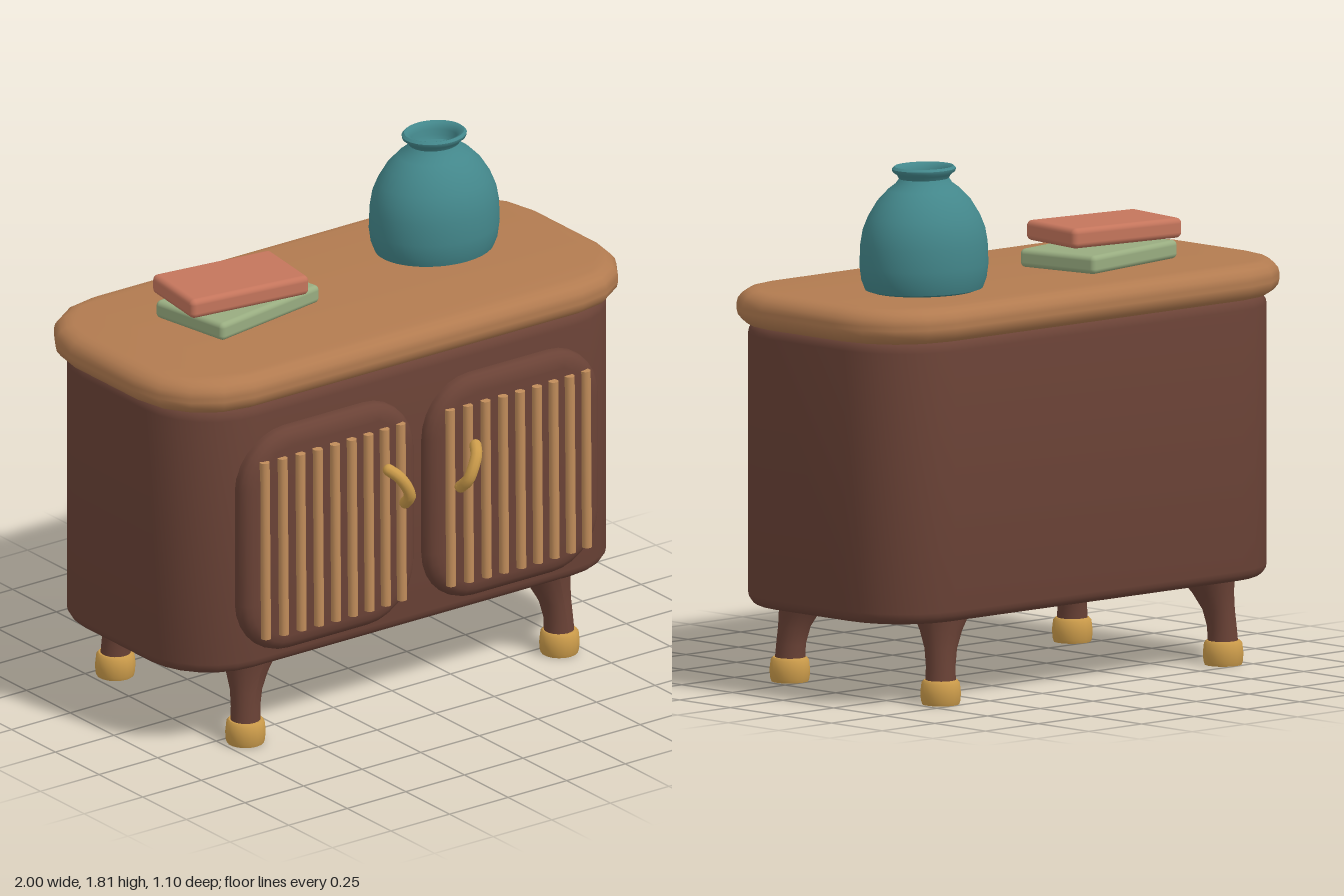
import * as THREE from 'three';
import { toCreasedNormals } from 'three/addons/utils/BufferGeometryUtils.js';
import { RoundedBoxGeometry } from 'three/addons/geometries/RoundedBoxGeometry.js';

const paint = (name, color) => {
  const m = new THREE.MeshStandardMaterial({ color });
  m.name = name;
  return m;
};

// Slab with rounded corners and softened rims, centred, thickness along z
function slab(w, h, depth, radius, cornerSegments, bevelSize, bevelDepth) {
  const shape = new THREE.Shape();
  const x = w / 2 - radius, y = h / 2 - radius;
  const corners = [[x, y], [-x, y], [-x, -y], [x, -y]];
  const pts = [];
  corners.forEach(([cx, cy], i) => {
    for (let k = 0; k <= cornerSegments; k++) {
      const a = (i + k / cornerSegments) * Math.PI / 2;
      pts.push(new THREE.Vector2(cx + radius * Math.cos(a), cy + radius * Math.sin(a)));
    }
  });
  shape.setFromPoints(pts);
  const g = new THREE.ExtrudeGeometry(shape, {
    depth: depth - 2 * bevelDepth, bevelEnabled: true, bevelSize,
    bevelThickness: bevelDepth, bevelOffset: -bevelSize, bevelSegments: 4,
  });
  g.translate(0, 0, bevelDepth - depth / 2);
  return toCreasedNormals(g, 0.7);
}

export function createModel() {
  const model = new THREE.Group();
  const walnut = paint('dark walnut', 0x6a4236);
  const oak = paint('warm top wood', 0xb27b50);
  const cane = paint('slat wood', 0xc08c5a);
  const brass = paint('brass', 0xcb9b4a);
  const teal = paint('teal glaze', 0x43878b);
  const clay = paint('clay red cover', 0xc4755c);
  const sage = paint('sage green cover', 0x98ac80);

  const add = (name, geometry, material, x = 0, y = 0, z = 0, parent = model) => {
    const mesh = new THREE.Mesh(geometry, material);
    mesh.name = name;
    mesh.position.set(x, y, z);
    parent.add(mesh);
    return mesh;
  };

  // Cabinet body and overhanging top
  add('cabinetBody', slab(1.9, 0.905, 0.98, 0.27, 6, 0.04, 0.04).rotateX(-Math.PI / 2), walnut, 0, 0.78, -0.067);
  add('cabinetTop', slab(2, 0.96, 0.125, 0.3, 4, 0.065, 0.055).rotateX(-Math.PI / 2), oak, 0, 1.322, -0.07);

  // Doors with vertical slats and bent handles
  const doorGeo = slab(0.74, 0.82, 0.1, 0.2, 7, 0.055, 0.045);
  const slatGeo = new THREE.CylinderGeometry(0.018, 0.018, 0.65, 10);
  for (const side of [-1, 1]) {
    const door = new THREE.Group();
    door.name = side > 0 ? 'leftDoor' : 'rightDoor';
    model.add(door);
    add('doorPanel', doorGeo, walnut, side * 0.394, 0.76, 0.388, door);
    for (let i = -4; i <= 4; i++) {
      const slat = add('slat', slatGeo, cane, side * 0.395 + i * 0.0725, 0.755, 0.457 - 0.0008 * i * i, door);
      slat.rotation.x = -0.012;
    }
    const path = [[0.185, 0.94, 0.48], [0.165, 0.92, 0.512], [0.138, 0.875, 0.526], [0.125, 0.84, 0.52], [0.118, 0.805, 0.485]]
      .map(([x, y, z]) => new THREE.Vector3(side * x, y, z));
    const curve = new THREE.CatmullRomCurve3(path);
    add('handle', new THREE.TubeGeometry(curve, 12, 0.021, 10), brass, 0, 0, 0, door);
    for (const p of [path[0], path[4]]) {
      add('handleEnd', new THREE.SphereGeometry(0.021, 10, 8), brass, p.x, p.y, p.z, door);
    }
  }

  // Flared legs: rings [height, inward shift, radius]
  const rings = [[0.06, 0, 0.053], [0.13, 0.003, 0.051], [0.19, 0.011, 0.056], [0.25, 0.025, 0.073], [0.31, 0.042, 0.1]];
  const capProfile = [[0, 0], [0.064, 0], [0.068, 0.012], [0.07, 0.04], [0.066, 0.075], [0.058, 0.084], [0, 0.084]]
    .map(([r, y]) => new THREE.Vector2(r, y));
  const capGeo = toCreasedNormals(new THREE.LatheGeometry(capProfile, 18), 0.8);
  for (const sx of [-1, 1]) {
    for (const sz of [-1, 1]) {
      const leg = new THREE.Group();
      leg.name = (sz > 0 ? 'front' : 'back') + (sx > 0 ? 'Left' : 'Right') + 'Leg';
      leg.position.set(sx * 0.67, 0, sz > 0 ? 0.31 : -0.435);
      model.add(leg);
      const g = new THREE.CylinderGeometry(1, 1, 1, 18, rings.length - 1, true);
      const p = g.attributes.position;
      for (let i = 0; i < p.count; i++) {
        const [y, shift, r] = rings[Math.round((p.getY(i) + 0.5) * (rings.length - 1))];
        p.setXYZ(i, p.getX(i) * r - sx * shift, y, p.getZ(i) * r - sz * shift);
      }
      g.computeVertexNormals();
      add('legShaft', g, walnut, 0, 0, 0, leg);
      add('footCap', capGeo, brass, 0, 0, 0, leg);
    }
  }

  // Oval vase with a hollow neck
  const vaseProfile = [[0, 0], [0.19, 0], [0.215, 0.008], [0.228, 0.04], [0.235, 0.09], [0.232, 0.165], [0.223, 0.215],
    [0.204, 0.26], [0.172, 0.31], [0.132, 0.35], [0.104, 0.37], [0.091, 0.388], [0.1, 0.402], [0.115, 0.412],
    [0.117, 0.422], [0.108, 0.43], [0.094, 0.425], [0.084, 0.405], [0.082, 0.385], [0.075, 0.372], [0, 0.37]]
    .map(([r, y]) => new THREE.Vector2(r, y));
  const vaseGeo = new THREE.LatheGeometry(vaseProfile, 36).scale(1, 1, 0.87);
  add('vase', toCreasedNormals(vaseGeo, 0.8), teal, 0.49, 1.384, -0.165);

  // Two stacked books, turned opposite ways
  const lower = add('lowerBook', new RoundedBoxGeometry(0.49, 0.064, 0.32, 3, 0.018), sage, -0.385, 1.416, -0.117);
  lower.rotation.y = 0.175;
  const upper = add('upperBook', new RoundedBoxGeometry(0.465, 0.07, 0.285, 3, 0.02), clay, -0.427, 1.495, -0.1);
  upper.rotation.y = -0.13;

  return model;
}
